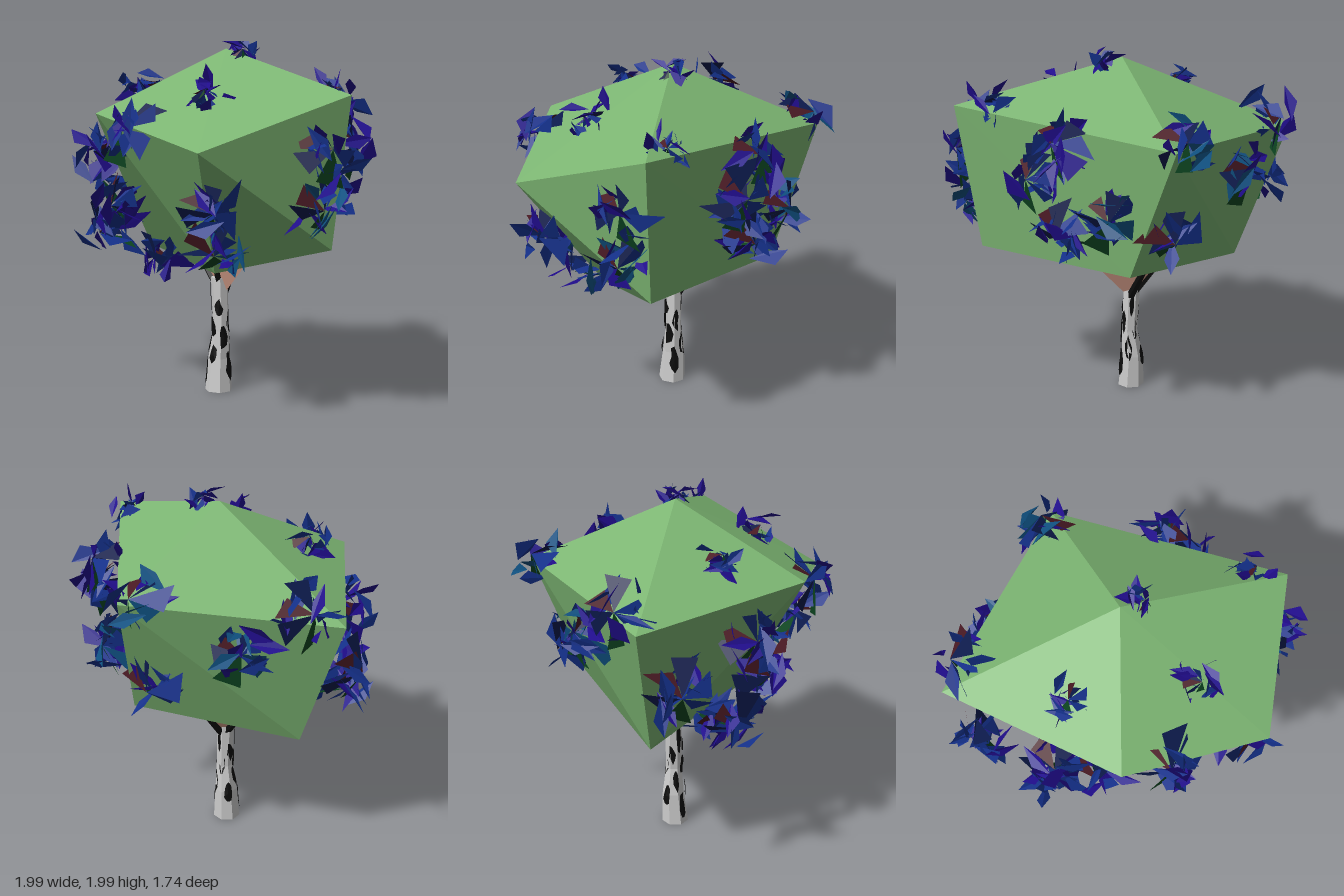
import * as THREE from 'three';

// Small seeded random, returns -1..1
let seed = 7;
const rnd = () => {
  seed = (seed * 16807) % 2147483647;
  return (seed / 2147483647) * 2 - 1;
};
const V = (x, y, z) => new THREE.Vector3(x, y, z);
const material = (color) =>
  new THREE.MeshStandardMaterial({ color, flatShading: true, side: THREE.DoubleSide });

const MATS = {
  canopy: material(0x7cb572), wood: material(0xd9a08c), bark: material(0xd8d8d8), dark: material(0x0c0c0c),
  blue: material(0x14308a), indigo: material(0x200c8c), teal: material(0x0f5080),
  navy: material(0x0c1a4c), green: material(0x0c4420), maroon: material(0x4a1a24),
};

// Mesh from a flat list of triangle corners
function triMesh(name, corners, mat) {
  const geo = new THREE.BufferGeometry().setFromPoints(corners);
  geo.computeVertexNormals();
  const mesh = new THREE.Mesh(geo, mat);
  mesh.name = name;
  return mesh;
}

// Crown: apex, a ring of five upper corners, a ring of four lower ones, open underneath
const P = {
  A: V(0.03, 1.96, 0), L: V(-0.93, 1.55, 0), B: V(-0.1, 1.62, -0.78), R: V(0.94, 1.73, 0),
  F: V(0.6, 1.46, 0.73), G: V(-0.2, 1.62, 0.73),
  l: V(-0.63, 0.79, 0), b: V(0.09, 0.9, -0.56), r: V(0.82, 0.93, 0), f: V(0.3, 0.78, 0.34),
};
const CROWN_FACES = 'ALG AGF AFR ARB ABL LlG lfG GfF frF FrR Rrb RbB Bbl BlL';

// Trunk rings: [height, centre x, radius]
const TRUNK = [[0.01, -0.02, 0.078], [0.2, -0.025, 0.064], [0.36, -0.01, 0.046], [0.67, -0.025, 0.049]];
function trunkPoint(angle, y, scale) {
  let i = 0;
  while (i < TRUNK.length - 2 && y > TRUNK[i + 1][0]) i++;
  const a = TRUNK[i], b = TRUNK[i + 1];
  const t = (y - a[0]) / (b[0] - a[0]);
  const cx = THREE.MathUtils.lerp(a[1], b[1], t);
  const r = THREE.MathUtils.lerp(a[2], b[2], t) * scale;
  return V(cx + Math.sin(angle) * r, y, 0.01 - 0.01 * t + Math.cos(angle) * r);
}

function makeTrunk() {
  const trunk = new THREE.Group();
  trunk.name = 'trunk';
  const rows = TRUNK.length - 1;
  const geo = new THREE.CylinderGeometry(1, 1, 1, 7, rows);
  const pos = geo.attributes.position;
  for (let i = 0; i < pos.count; i++) {
    const row = Math.round((0.5 + pos.getY(i)) * rows);
    const radius = Math.hypot(pos.getX(i), pos.getZ(i));
    const p = trunkPoint(Math.atan2(pos.getX(i), pos.getZ(i)), TRUNK[row][0], radius);
    pos.setXYZ(i, p.x, p.y, p.z);
  }
  geo.computeVertexNormals();
  const bark = new THREE.Mesh(geo, MATS.bark);
  bark.name = 'bark';
  trunk.add(bark);

  // Ragged dark patches wrapped on the bark in a staggered spiral
  const tris = [];
  for (let i = 0; i < 14; i++) {
    const angle = i * 2.4 - 0.6;
    const y = 0.13 + 0.033 * i;
    const w = 0.45 + 0.12 * rnd(), h = 0.075 + 0.02 * rnd();
    const rim = [];
    for (let k = 0; k < 9; k++) {
      const t = (k / 9) * Math.PI * 2, s = 0.85 + 0.25 * rnd();
      rim.push(trunkPoint(angle + Math.cos(t) * w * s, y + Math.sin(t) * h * s, 1.05));
    }
    rim.forEach((p, k) => tris.push(trunkPoint(angle, y, 1.06), p, rim[(k + 1) % 9]));
  }
  trunk.add(triMesh('barkPatches', tris, MATS.dark));
  return trunk;
}

// Fork: inverted pyramid of wood with dark limbs along its edges
function makeFork() {
  const fork = new THREE.Group();
  fork.name = 'fork';
  const foot = V(-0.01, 0.56, -0.01);
  const ring = [V(0.4, 1, 0), V(-0.1, 1, -0.36), V(-0.38, 1, 0), V(0, 1, 0.13)];
  const tris = [];
  ring.forEach((p, i) => tris.push(foot, ring[(i + 1) % 4], p));
  fork.add(triMesh('forkWood', tris, MATS.wood));
  for (const end of ring.slice(1)) {
    const limb = new THREE.Mesh(new THREE.CylinderGeometry(0.012, 0.025, foot.distanceTo(end), 5), MATS.dark);
    limb.position.copy(foot).lerp(end, 0.5);
    limb.quaternion.setFromUnitVectors(V(0, 1, 0), end.clone().sub(foot).normalize());
    limb.name = 'limb';
    fork.add(limb);
  }
  return fork;
}

// Leaf clusters by main colour: [x, y, z], larger on the sides than on the roof
const CLUSTERS = {
  blue: [[-0.8, 1.22, 0.2], [-0.5, 0.95, 0.42], [0.05, 1.53, 0.7], [0.55, 1.17, 0.58], [0.87, 1.45, 0.12],
    [-0.32, 1.75, 0.3], [-0.78, 1.6, -0.12], [0.56, 1.42, -0.42], [0.42, 1.15, -0.45], [0.76, 1.73, -0.08],
    [-0.12, 1.12, -0.58]],
  indigo: [[-0.45, 1.38, 0.48], [-0.25, 1.13, 0.52], [-0.2, 0.8, 0.25], [0.15, 1.91, 0], [0.3, 1.72, 0.4],
    [0.45, 1.6, -0.48]],
  teal: [[-0.15, 1.63, -0.7], [0.42, 0.95, 0.45], [0.84, 1.17, 0.14], [0.2, 1.25, -0.6], [-0.55, 1.4, -0.36]],
};

function makeCluster([x, y, z], main) {
  const group = new THREE.Group();
  group.name = 'leafCluster';
  const center = V(x, y, z);
  const size = y > 1.7 ? 0.14 : 0.19;
  const out = V(x, (y - 1.3) * 1.3, z).normalize();
  const lists = {};
  const add = (color, ...pts) => {
    // Keep leaves inside the overall spread of the tree
    pts.forEach((p) => p.clamp(V(-1, 0.68, -0.88), V(1, 2, 0.88)));
    (lists[color] ??= []).push(...pts);
  };

  // Ragged fan of folded leaves around a raised tip
  const side = V(out.z, 0, -out.x).normalize();
  const up = out.clone().cross(side);
  const tip = center.clone().addScaledVector(out, size * 0.35);
  const spread = y > 1.7 ? 0.6 : 1;
  const corner = (a) => {
    const s = (0.85 + 0.3 * rnd()) * spread * size;
    return center.clone().addScaledVector(side, Math.cos(a) * s).addScaledVector(up, Math.sin(a) * s)
      .addScaledVector(out, size * (0.3 * rnd() - 0.15));
  };
  ['blue', 'navy', 'maroon', 'navy', 'green', main].forEach((color, k) => {
    const a = k * 1.05 + 0.3 * rnd();
    add(color, tip.clone(), corner(a), corner(a + 0.75));
  });

  // Loose crossing blades, each a bent kite
  for (let k = 0; k < 12; k++) {
    const c = center.clone().add(V(rnd(), rnd(), rnd()).multiplyScalar(size * 0.6));
    const u = V(rnd(), rnd(), rnd()).normalize();
    const v = u.clone().cross(V(rnd(), rnd(), rnd())).normalize();
    const at = (i, j, o) => c.clone().addScaledVector(u, i * size).addScaledVector(v, j * size)
      .addScaledVector(out, o * size);
    const color = [main, 'blue', 'indigo'][k % 3];
    add(color, at(-0.5, 0, 0), at(0.1, -0.22, 0.15), at(0.6, 0.08, 0));
    add(color, at(-0.5, 0, 0), at(0.6, 0.08, 0), at(0.05, 0.22, 0.1));
  }
  for (const color in lists) group.add(triMesh(color + 'Leaves', lists[color], MATS[color]));
  return group;
}

export function createModel() {
  seed = 7;
  const tree = new THREE.Group();
  tree.name = 'tree';
  const corners = CROWN_FACES.split(' ').flatMap((face) => [...face].map((key) => P[key]));
  tree.add(triMesh('crown', corners, MATS.canopy), makeTrunk(), makeFork());
  const foliage = new THREE.Group();
  foliage.name = 'foliage';
  for (const color in CLUSTERS) CLUSTERS[color].forEach((spot) => foliage.add(makeCluster(spot, color)));
  tree.add(foliage);
  return tree;
}
